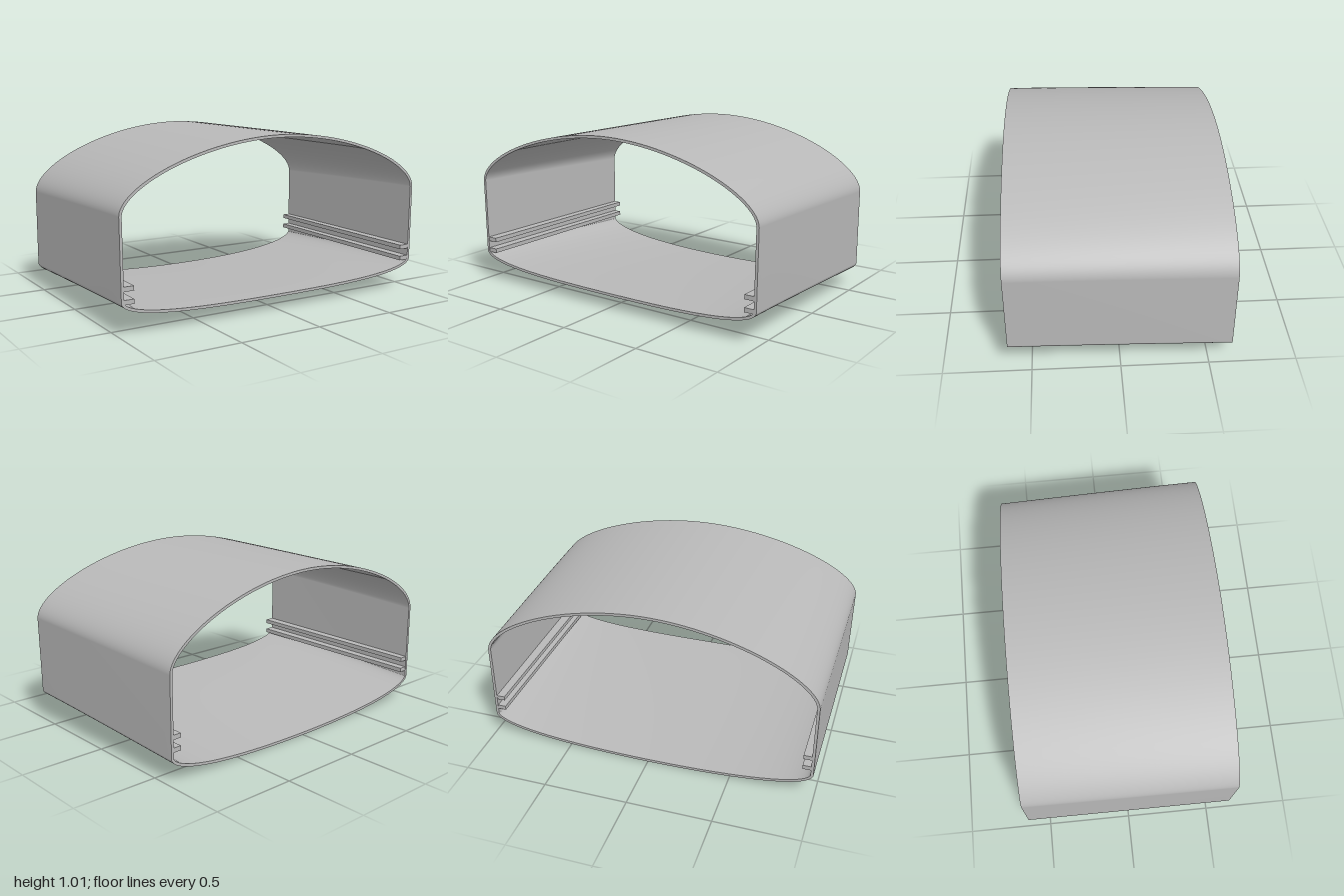
import * as THREE from 'three';

const HALF = 0.628;      // half length along z
const WALL = 0.016;      // shell thickness
const STEPS = 24;        // sections from front to back

// Half of the section at t (0 front, 1 back): bottom centre, side, top centre
function halfSection(t) {
  const g = Math.pow(t, 1.25);
  const mix = (a, b) => a + (b - a) * g;
  const v = (x, y) => new THREE.Vector2(x, y);
  const side = mix(1, 0.985);
  const bottom = new THREE.CubicBezierCurve(
    v(0, mix(0.08, 0)), v(0.5, mix(0.08, 0)),
    v(mix(0.975, 0.96), mix(0.09, 0.04)), v(mix(0.995, 0.985), mix(0.185, 0.14)));
  const top = new THREE.CubicBezierCurve(
    v(side, mix(0.64, 0.6)), v(side, mix(0.8, 0.77)),
    v(0.5, mix(1.01, 1.003)), v(0, mix(1.01, 1.003)));
  return [...bottom.getPoints(32), ...top.getPoints(40)];
}

// Full closed outline, counterclockwise from the front
function outline(t) {
  const half = halfSection(t);
  const mirrored = half.slice(1, -1).reverse().map(p => new THREE.Vector2(-p.x, p.y));
  return [...half, ...mirrored];
}

// Outline moved inward by the wall thickness
function inset(points) {
  const n = points.length;
  return points.map((p, i) => {
    const d = points[(i + 1) % n].clone().sub(points[(i + n - 1) % n]).normalize();
    return new THREE.Vector2(p.x - d.y * WALL, p.y + d.x * WALL);
  });
}

// Skin over rings of equal point count
function skin(rings) {
  const n = rings[0].length;
  const position = [], index = [];
  rings.forEach((ring, i) => ring.forEach((p, j) => {
    position.push(p.x, p.y, p.z);
    if (i === rings.length - 1) return;
    const k = (j + 1) % n;
    const a = i * n + j, b = i * n + k, c = b + n, d = a + n;
    index.push(a, d, b, b, d, c);
  }));
  const geometry = new THREE.BufferGeometry();
  geometry.setAttribute('position', new THREE.Float32BufferAttribute(position, 3));
  geometry.setIndex(index);
  geometry.computeVertexNormals();
  return geometry;
}

// Guide rail whose outer edge follows the tapering wall
function railGeometry(side, y) {
  const geometry = new THREE.BoxGeometry(0.08, 0.026, 2 * HALF - 0.004);
  geometry.translate(side * 0.96, y, 0);
  const p = geometry.attributes.position;
  for (let i = 0; i < p.count; i++) {
    if (p.getX(i) * side > 0.95) p.setX(i, side * (p.getZ(i) > 0 ? 0.986 : 0.974));
  }
  geometry.computeVertexNormals();
  return geometry;
}

export function createModel() {
  const model = new THREE.Group();
  model.name = 'sleeve';
  const grey = new THREE.MeshStandardMaterial({ color: 0xb8b8b8 });
  grey.name = 'grey';
  const add = (name, geometry) => {
    const mesh = new THREE.Mesh(geometry, grey);
    mesh.name = name;
    model.add(mesh);
  };

  const outer = [], inner = [];
  for (let i = 0; i <= STEPS; i++) {
    const t = i / STEPS;
    const z = HALF - 2 * HALF * t;
    const ring = outline(t);
    const to3 = p => new THREE.Vector3(p.x, p.y, z);
    outer.push(ring.map(to3));
    inner.push(inset(ring).map(to3));
  }

  // Thin shell, open at both ends
  add('outerShell', skin(outer));
  add('innerShell', skin([...inner].reverse()));
  add('frontRim', skin([inner[0], outer[0]]));
  add('backRim', skin([outer[STEPS], inner[STEPS]]));

  // Pair of guide rails on each side wall
  for (const side of [1, -1]) {
    const name = side > 0 ? 'left' : 'right';
    add(name + 'UpperRail', railGeometry(side, 0.261));
    add(name + 'LowerRail', railGeometry(side, 0.19));
  }
  return model;
}
